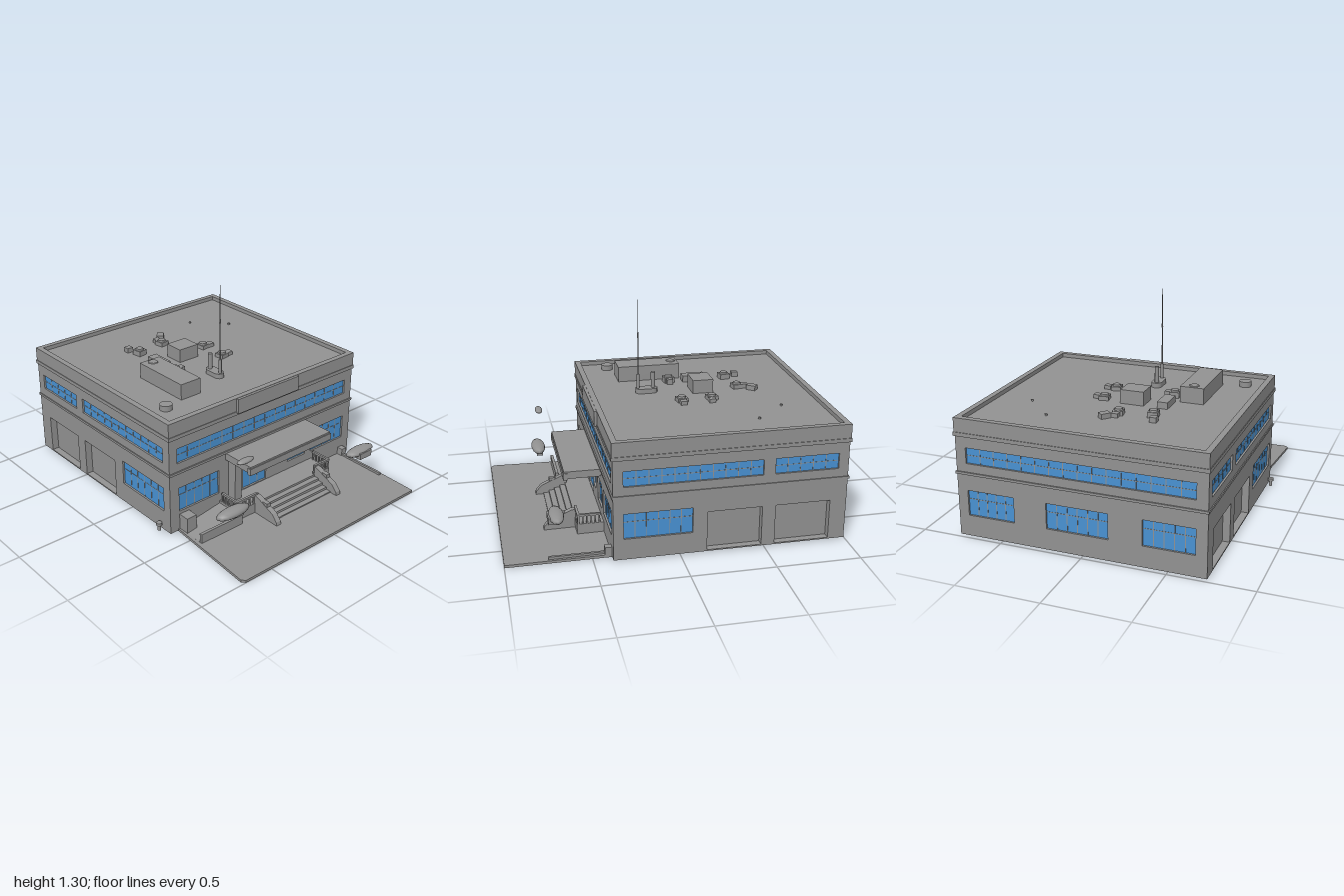
import * as THREE from 'three';

const grey = new THREE.MeshStandardMaterial({ color: 0x919191 });
grey.name = 'concreteGrey';
const blue = new THREE.MeshStandardMaterial({ color: 0x4891d2 });
blue.name = 'windowBlue';

export function createModel() {
  const model = new THREE.Group();
  model.name = 'officeBuilding';

  const add = (name, geo, parent = model, mat = grey) => {
    const m = new THREE.Mesh(geo, mat);
    m.name = name;
    parent.add(m);
    return m;
  };
  // Box given by its minimum and maximum on each axis
  const box = (name, x0, x1, y0, y1, z0, z1, parent = model, mat = grey) => {
    const m = add(name, new THREE.BoxGeometry(x1 - x0, y1 - y0, z1 - z0), parent, mat);
    m.position.set((x0 + x1) / 2, (y0 + y1) / 2, (z0 + z1) / 2);
    return m;
  };
  const cyl = (name, x, y0, y1, z, r0, r1 = r0, n = 12) => {
    const m = add(name, new THREE.CylinderGeometry(r1, r0, y1 - y0, n));
    m.position.set(x, (y0 + y1) / 2, z);
    return m;
  };
  const rect = (C, x0, y0, x1, y1) => {
    const s = new C();
    s.moveTo(x0, y0);
    s.lineTo(x1, y0);
    s.lineTo(x1, y1);
    s.lineTo(x0, y1);
    s.closePath();
    return s;
  };
  // Solid made by pushing an outline through a depth
  const slab = (points, depth) => new THREE.ExtrudeGeometry(
    new THREE.Shape(points.map(p => new THREE.Vector2(...p))), { depth, bevelEnabled: false });

  // Wall with openings; local x runs along the wall, local z points outward
  const T = 0.05;
  function wall(name, u0, u1, windows, doors, place) {
    const g = new THREE.Group();
    g.name = name;
    const shape = rect(THREE.Shape, u0, 0.012, u1, 0.64);
    [...windows, ...doors].forEach(([a, b, c, d]) => shape.holes.push(rect(THREE.Path, a, c, b, d)));
    const geo = new THREE.ExtrudeGeometry(shape, { depth: T, bevelEnabled: false });
    geo.translate(0, 0, -T);
    add('wallPanel', geo, g);
    windows.forEach(([a, b, c, d, cols, rail]) => {
      box('windowGlass', a, b, c, d, -0.018, -0.012, g, blue);
      for (let i = 1; i < cols; i++) {
        const u = a + (b - a) * i / cols;
        box('mullion', u - 0.0025, u + 0.0025, c, d, -0.014, -0.0105, g);
      }
      const y = c + (d - c) * rail;
      box('transom', a, b, y - 0.002, y + 0.002, -0.014, -0.0105, g);
    });
    doors.forEach(([a, b, c, d]) => box('garageDoor', a, b, c, d, -T, -T + 0.006, g));
    place(g);
    model.add(g);
  }

  // Front and back walls mirror each other
  const faceWindows = [[-0.93, -0.55, 0.46, 0.555, 5, 0.5], [-0.48, 0.33, 0.46, 0.555, 11, 0.5], [-0.07, 0.33, 0.14, 0.295, 6, 0.65]];
  const garages = [[-0.89, -0.56, 0.02, 0.262], [-0.48, -0.155, 0.02, 0.262]];
  const flip = list => list.map(([a, b, ...rest]) => [-b, -a, ...rest]);
  wall('frontWall', -0.99, 0.39, faceWindows, garages, g => { g.position.z = 0.727; });
  wall('backWall', -0.39, 0.99, flip(faceWindows), flip(garages), g => {
    g.rotation.y = Math.PI;
    g.position.z = -0.762;
  });
  // Side walls
  wall('entranceWall', -0.685, 0.72, [
    [-0.67, 0.70, 0.46, 0.555, 16, 0.5], [-0.66, -0.36, 0.14, 0.295, 5, 0.65],
    [-0.17, 0.02, 0.09, 0.295, 3, 0.8], [0.02, 0.13, 0.165, 0.295, 2, 0.68],
    [0.205, 0.36, 0.14, 0.295, 3, 0.65], [0.41, 0.70, 0.14, 0.295, 5, 0.65],
  ], [], g => {
    g.rotation.y = Math.PI / 2;
    g.position.x = 0.39;
  });
  wall('farSideWall', -0.72, 0.685, [
    [-0.70, 0.66, 0.46, 0.555, 16, 0.5], [-0.70, -0.41, 0.14, 0.295, 5, 0.65],
    [-0.21, 0.16, 0.14, 0.295, 6, 0.65], [0.36, 0.66, 0.14, 0.295, 5, 0.65],
  ], [], g => {
    g.rotation.y = -Math.PI / 2;
    g.position.x = -0.99;
  });

  // Horizontal ring around the building, with inset outer edge
  function ring(name, y0, y1, inset, width) {
    const s = rect(THREE.Shape, -1 + inset, -0.735 + inset, 0.4 - inset, 0.77 - inset);
    const i = inset + width;
    s.holes.push(rect(THREE.Path, -1 + i, -0.735 + i, 0.4 - i, 0.77 - i));
    const geo = new THREE.ExtrudeGeometry(s, { depth: y1 - y0, bevelEnabled: false });
    geo.rotateX(-Math.PI / 2);
    add(name, geo).position.y = y0;
  }
  ring('floorLedge', 0.393, 0.408, 0.002, 0.04);
  ring('roofLedge', 0.622, 0.645, 0.001, 0.04);
  ring('parapet', 0.64, 0.73, 0.005, 0.035);
  box('roofDeck', -0.97, 0.37, 0.68, 0.705, -0.74, 0.71);
  box('baseSlab', -0.99, 0.39, 0.012, 0.02, -0.762, 0.727);
  box('fasciaPanel', 0.39, 0.412, 0.635, 0.728, -0.26, 0.23);

  // Entrance plaza, falling gently away from the building
  const plazaGeo = slab([[0.38, -0.67], [0.98, -0.71], [1, -0.69], [1, 0.7], [0.38, 0.71]], 0.016);
  plazaGeo.rotateX(-Math.PI / 2);
  const plaza = add('plaza', plazaGeo);
  plaza.rotation.z = -0.012;
  plaza.position.y = 0.012;

  // Canopy and its pier
  box('canopy', 0.38, 0.61, 0.35, 0.395, -0.345, 0.31);
  box('canopyLip', 0.59, 0.615, 0.342, 0.385, -0.35, 0.315);
  box('canopyPier', 0.38, 0.45, 0.02, 0.35, 0.235, 0.285);

  // Porch and steps
  box('porch', 0.38, 0.55, 0.01, 0.085, -0.42, 0.355);
  for (let i = 0; i < 4; i++) box('step', 0.54, 0.585 + i * 0.035, 0.01, 0.072 - i * 0.015, -0.29, 0.18);

  // Sloping stair cheeks with end posts
  const cheekGeo = slab([[0.54, 0.01], [0.74, 0.01], [0.735, 0.04], [0.7, 0.08], [0.57, 0.135], [0.54, 0.14]], 0.035);
  for (const z of [0.18, -0.325]) {
    add('stairCheek', cheekGeo).position.z = z;
    box('cheekPost', 0.61, 0.65, 0.02, 0.125, z + 0.003, z + 0.032);
  }

  // Porch railings on both sides
  for (const [inner, outer] of [[0.19, 0.35], [-0.29, -0.415]]) {
    const lo = Math.min(inner, outer), hi = Math.max(inner, outer);
    box('frontHandrail', 0.535, 0.55, 0.135, 0.148, lo, hi);
    box('sideHandrail', 0.41, 0.55, 0.135, 0.148, outer - 0.007, outer + 0.007);
    for (let i = 0; i <= 5; i++) {
      const z = lo + (hi - lo) * i / 5, x = 0.415 + i * 0.025;
      box('railPost', 0.538, 0.547, 0.08, 0.138, z - 0.005, z + 0.005);
      box('railPost', x - 0.004, x + 0.004, 0.08, 0.138, outer - 0.005, outer + 0.005);
    }
  }

  // Access ramp along the wall, with kerbs and end block
  const rampGeo = slab([[-0.66, 0.01], [-0.35, 0.01], [-0.35, 0.07], [-0.66, 0.022]], 0.19);
  rampGeo.rotateY(Math.PI / 2);
  add('ramp', rampGeo).position.x = 0.385;
  box('rampKerb', 0.572, 0.59, 0.01, 0.08, 0.35, 0.66);
  box('rampBlock', 0.39, 0.46, 0.01, 0.12, 0.59, 0.66);
  box('edgeKerb', 0.39, 0.75, 0.01, 0.035, -0.69, -0.675);
  box('cornerBlock', 0.39, 0.43, 0.01, 0.07, -0.71, -0.67);

  // Floating tree crowns
  for (const [x, y, z, a, b, c] of [[0.685, 0.218, 0.51, 0.045, 0.03, 0.12], [0.685, 0.222, -0.545, 0.045, 0.026, 0.115], [0.68, 0.513, 0.415, 0.024, 0.015, 0.062]]) {
    const crown = add('treeCrown', new THREE.SphereGeometry(1, 12, 8));
    crown.scale.set(a, b, c);
    crown.position.set(x, y, z);
  }
  box('crownStub', 0.66, 0.7, 0.178, 0.2, 0.44, 0.51);
  box('crownStub', 0.69, 0.735, 0.19, 0.23, -0.6, -0.5);

  // Hydrant by the front corner
  cyl('hydrant', 0.31, 0.01, 0.05, 0.75, 0.01);
  cyl('hydrantCap', 0.31, 0.045, 0.062, 0.75, 0.018);

  // Large rooftop plant
  const roof = 0.7;
  box('plantRoom', -0.235, 0.165, roof, 0.803, 0.31, 0.455);
  cyl('plantRoomVent', -0.195, 0.8, 0.807, 0.385, 0.035, 0.03, 6);
  box('coolingUnit', -0.38, -0.25, roof, 0.79, -0.01, 0.135);
  box('ductBox', -0.385, -0.24, roof, 0.745, 0.22, 0.285);
  cyl('roofDrum', 0.195, roof, 0.738, 0.59, 0.038);

  // Small fans: a box with a round cowl and a tail piece
  for (const [x, z, dx, dz, h] of [[-0.34, -0.125, 0.01, -0.05, 0.74], [-0.15, -0.125, 0, -0.055, 0.74], [-0.55, 0.05, -0.05, 0, 0.742], [-0.52, 0.25, -0.08, 0.03, 0.748], [-0.15, 0.25, 0, -0.04, 0.75]]) {
    box('fanBox', x - 0.032, x + 0.032, roof, h - 0.01, z - 0.03, z + 0.03).rotation.y = 0.15;
    cyl('fanCowl', x, h - 0.015, h, z, 0.028, 0.024, 8);
    box('fanTail', x + dx - 0.02, x + dx + 0.02, roof, h - 0.012, z + dz - 0.02, z + dz + 0.02);
  }
  box('skewedVent', -0.665, -0.605, roof, 0.735, -0.025, 0.02).rotation.y = -0.7;
  for (const [x, z] of [[-0.72, -0.325], [-0.525, -0.51]]) cyl('ventPipe', x, roof, 0.715, z, 0.008, 0.008, 6);

  // Antenna base with rounded ends, post and mast
  box('antennaBase', -0.01, 0.065, roof, 0.735, 0.05, 0.115);
  for (const x of [-0.01, 0.065]) cyl('antennaBaseEnd', x, roof, 0.735, 0.0825, 0.0325);
  cyl('antennaPost', -0.015, roof, 0.835, 0.085, 0.014, 0.014, 8);
  cyl('mastSocket', 0.08, roof, 0.825, 0.085, 0.01, 0.01, 8);
  cyl('mast', 0.08, 0.82, 1.3, 0.085, 0.004, 0.002, 6);
  cyl('mastCollar', 0.08, 1.06, 1.1, 0.085, 0.006, 0.003, 6);

  return model;
}
